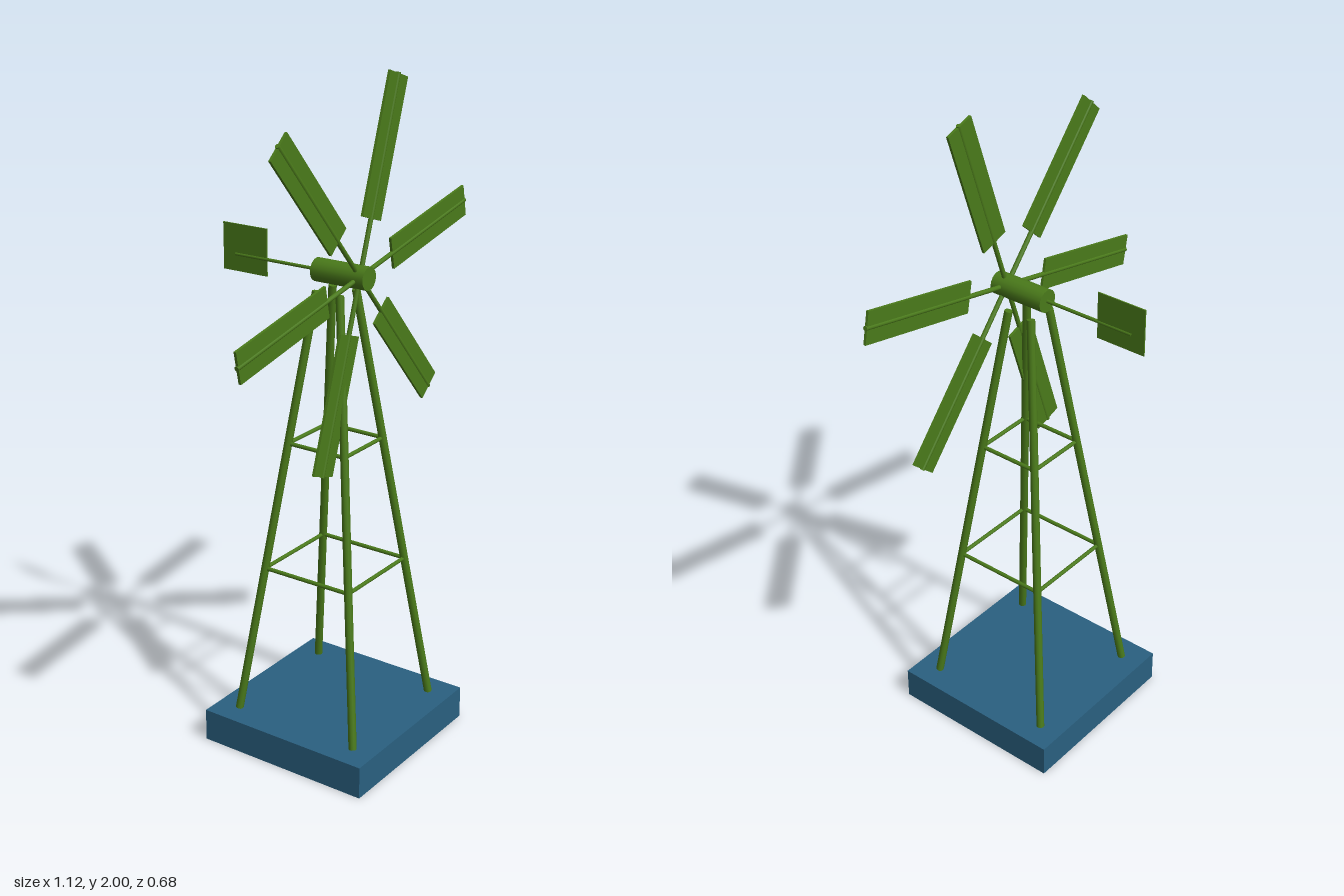
import * as THREE from 'three';

const CZ = 0.058;      // tower axis
const HUB_Y = 1.45;    // rotor axis height
const ROTOR_Z = 0.137; // rotor plane

export function createModel() {
  const model = new THREE.Group();
  model.name = 'windmill';
  const metal = new THREE.MeshStandardMaterial({ color: 0x4a7a1a });
  const stone = new THREE.MeshStandardMaterial({ color: 0x2a6080 });

  const add = (parent, name, geometry, material = metal) => {
    const mesh = new THREE.Mesh(geometry, material);
    mesh.name = name;
    parent.add(mesh);
    return mesh;
  };

  // Round bar between two points
  const bar = (parent, name, a, b, radius) => {
    const dir = b.clone().sub(a);
    const mesh = add(parent, name, new THREE.CylinderGeometry(radius, radius, dir.length(), 10));
    mesh.position.copy(a).add(b).multiplyScalar(0.5);
    mesh.quaternion.setFromUnitVectors(new THREE.Vector3(0, 1, 0), dir.normalize());
    return mesh;
  };

  // Base slab
  add(model, 'base', new THREE.BoxGeometry(0.56, 0.1, 0.56), stone).position.set(0, 0.05, CZ);

  // Tower: four leaning legs and two square rings of braces
  const tower = new THREE.Group();
  tower.name = 'tower';
  model.add(tower);
  const corners = [[1, 1], [1, -1], [-1, -1], [-1, 1]];
  const legPoint = ([sx, sz], y) => {
    const half = THREE.MathUtils.mapLinear(y, 0.1, 1.4, 0.207, 0.04);
    return new THREE.Vector3(sx * half, y, CZ + sz * half);
  };
  corners.forEach((c, i) => {
    bar(tower, 'leg', legPoint(c, 0.1), legPoint(c, 1.4), 0.012);
    for (const y of [0.56, 0.95]) {
      bar(tower, 'brace', legPoint(c, y), legPoint(corners[(i + 1) % 4], y), 0.006);
    }
  });

  // Hub
  const hub = add(model, 'hub', new THREE.CylinderGeometry(0.034, 0.034, 0.176, 16));
  hub.rotation.x = Math.PI / 2;
  hub.position.set(0, HUB_Y, 0.08);

  // Tail boom and vane
  bar(model, 'tailBoom', new THREE.Vector3(0, HUB_Y, 0), new THREE.Vector3(0, HUB_Y, -0.295), 0.005);
  add(model, 'tailVane', new THREE.BoxGeometry(0.004, 0.14, 0.156)).position.set(0, 1.47, -0.26);

  // Rotor: six spokes carrying flat blades
  const rotor = new THREE.Group();
  rotor.name = 'rotor';
  rotor.position.set(0, HUB_Y, ROTOR_Z);
  model.add(rotor);
  for (let i = 0; i < 6; i++) {
    const arm = new THREE.Group();
    arm.name = 'rotorArm';
    arm.rotation.z = 0.2 + (i * Math.PI) / 3;
    bar(arm, 'spoke', new THREE.Vector3(0, 0, 0), new THREE.Vector3(0.566, 0, 0), 0.007);
    add(arm, 'blade', new THREE.BoxGeometry(0.4, 0.094, 0.008)).position.x = 0.363;
    rotor.add(arm);
  }
  return model;
}
